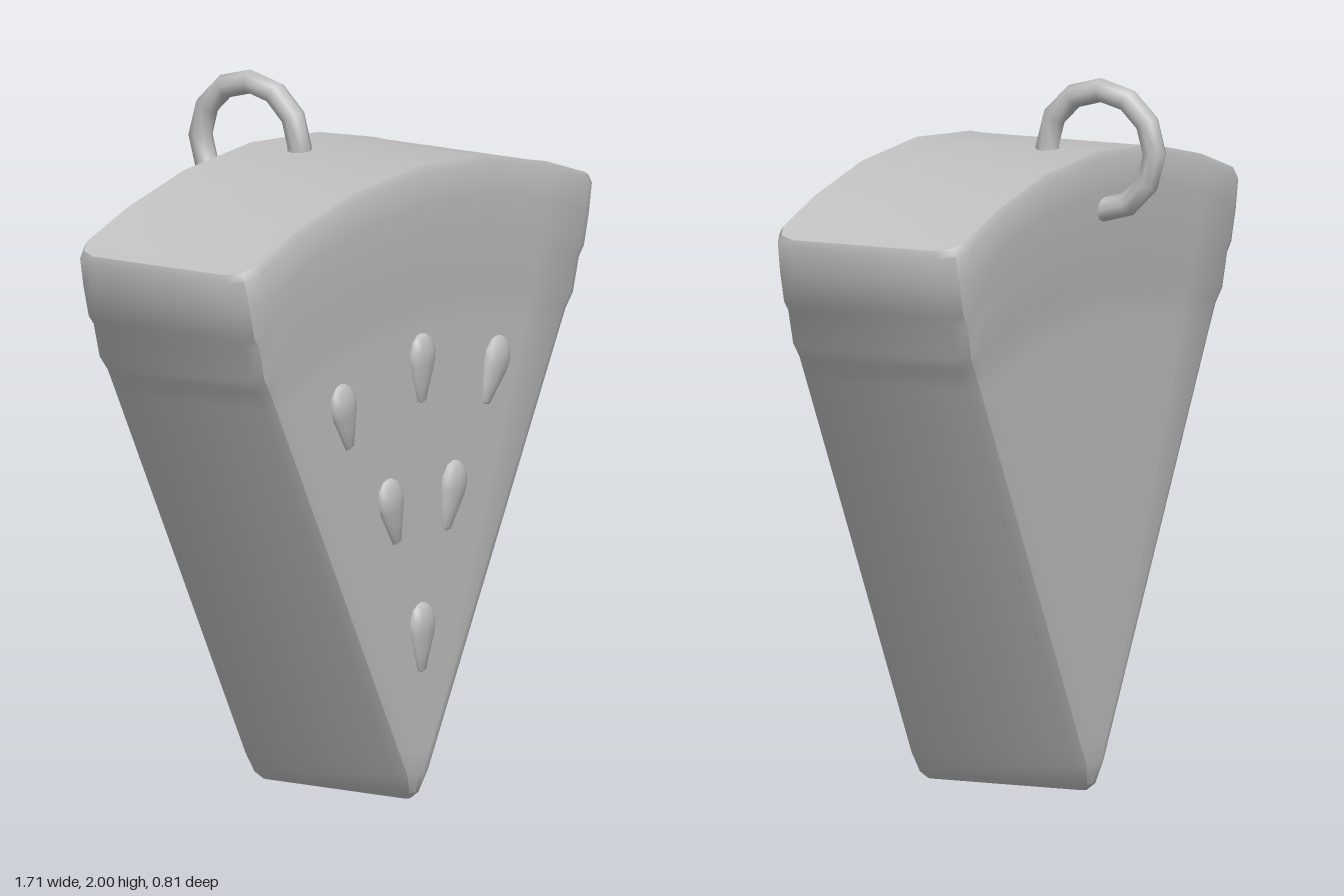
import * as THREE from 'three';
import { toCreasedNormals } from 'three/addons/utils/BufferGeometryUtils.js';

// Loft of curved, rounded-rectangle sections. Row: [halfWidth, edgeY, frontZ, backZ, bevel]
function loftWedge(rows) {
  const inner = [-1, -0.76, -0.41, 0, 0.41, 0.76, 1];
  const pos = [], index = [];
  const half = inner.length + 4, loop = half * 2;
  for (const [w, edgeY, zf, zb, b] of rows) {
    const bs = Math.min(b / w, 0.8);
    const side = [[-1, b], [-1 + 0.3 * bs, 0.3 * b]];
    inner.forEach((s) => side.push([s * (1 - bs), 0]));
    side.push([1 - 0.3 * bs, 0.3 * b], [1, b]);
    const put = (s, z) => pos.push(s * w, edgeY + 0.238 * w * w * (1 - s * s), z);
    side.forEach(([s, d]) => put(s, zf - d));
    side.slice().reverse().forEach(([s, d]) => put(s, zb + d));
  }
  for (let j = 0; j < rows.length - 1; j++) {
    for (let i = 0; i < loop; i++) {
      const k = (i + 1) % loop, a = j * loop, c = a + loop;
      index.push(a + i, a + k, c + k, a + i, c + k, c + i);
    }
  }
  // end caps, front to back strips
  const top = (rows.length - 1) * loop;
  for (let i = 0; i < half - 1; i++) {
    const f = i, g = i + 1, p = loop - 1 - i, q = p - 1;
    index.push(top + f, top + g, top + q, top + f, top + q, top + p);
    index.push(f, q, g, f, p, q);
  }
  const geo = new THREE.BufferGeometry();
  geo.setAttribute('position', new THREE.Float32BufferAttribute(pos, 3));
  geo.setIndex(index);
  return toCreasedNormals(geo, 0.65);
}

export function createModel() {
  const group = new THREE.Group();
  group.name = 'fruitSlicePendant';
  const grey = new THREE.MeshStandardMaterial({ color: 0xc0c0c0 });
  grey.name = 'plain grey';

  const add = (name, geo) => {
    const mesh = new THREE.Mesh(geo, grey);
    mesh.name = name;
    group.add(mesh);
    return mesh;
  };

  // slice: pointed flesh, then two stepped rind bands
  add('slice', loftWedge([
    [0.012, 0.005, 0.34, -0.155, 0.02],
    [0.03, 0.025, 0.365, -0.18, 0.035],
    [0.062, 0.08, 0.38, -0.195, 0.045],
    [0.1, 0.148, 0.38, -0.195, 0.045],
    [0.69, 1.208, 0.38, -0.195, 0.045],
    [0.725, 1.27, 0.38, -0.195, 0.045],
    [0.757, 1.31, 0.385, -0.202, 0.05],
    [0.785, 1.405, 0.388, -0.205, 0.055],
    [0.81, 1.432, 0.39, -0.207, 0.06],
    [0.835, 1.52, 0.392, -0.21, 0.065],
    [0.855, 1.6, 0.388, -0.207, 0.065],
    [0.852, 1.622, 0.378, -0.197, 0.065],
    [0.825, 1.63, 0.352, -0.17, 0.05],
  ]));

  // seeds on the front face: x, y, tilt
  const seedGeo = new THREE.LatheGeometry([
    [0, -0.1], [0.02, -0.092], [0.037, -0.04], [0.053, 0.01],
    [0.057, 0.045], [0.043, 0.08], [0.02, 0.096], [0, 0.1],
  ].map(([x, y]) => new THREE.Vector2(x, y)), 12);
  const seeds = [
    [0, 1.225, 0], [-0.37, 1.147, 0.27], [0.345, 1.162, -0.42],
    [-0.143, 0.842, 0.27], [0.143, 0.842, -0.27], [0, 0.465, 0],
  ];
  for (const [x, y, tilt] of seeds) {
    const seed = add('seed', seedGeo);
    seed.position.set(x, y, 0.378);
    seed.rotation.z = tilt;
    seed.scale.z = 0.5;
  }

  // hanging ring through the top back edge
  const ring = add('hangingRing', new THREE.TorusGeometry(0.168, 0.034, 8, 12));
  ring.rotation.y = Math.PI / 2;
  ring.position.set(0, 1.798, -0.2);
  return group;
}
